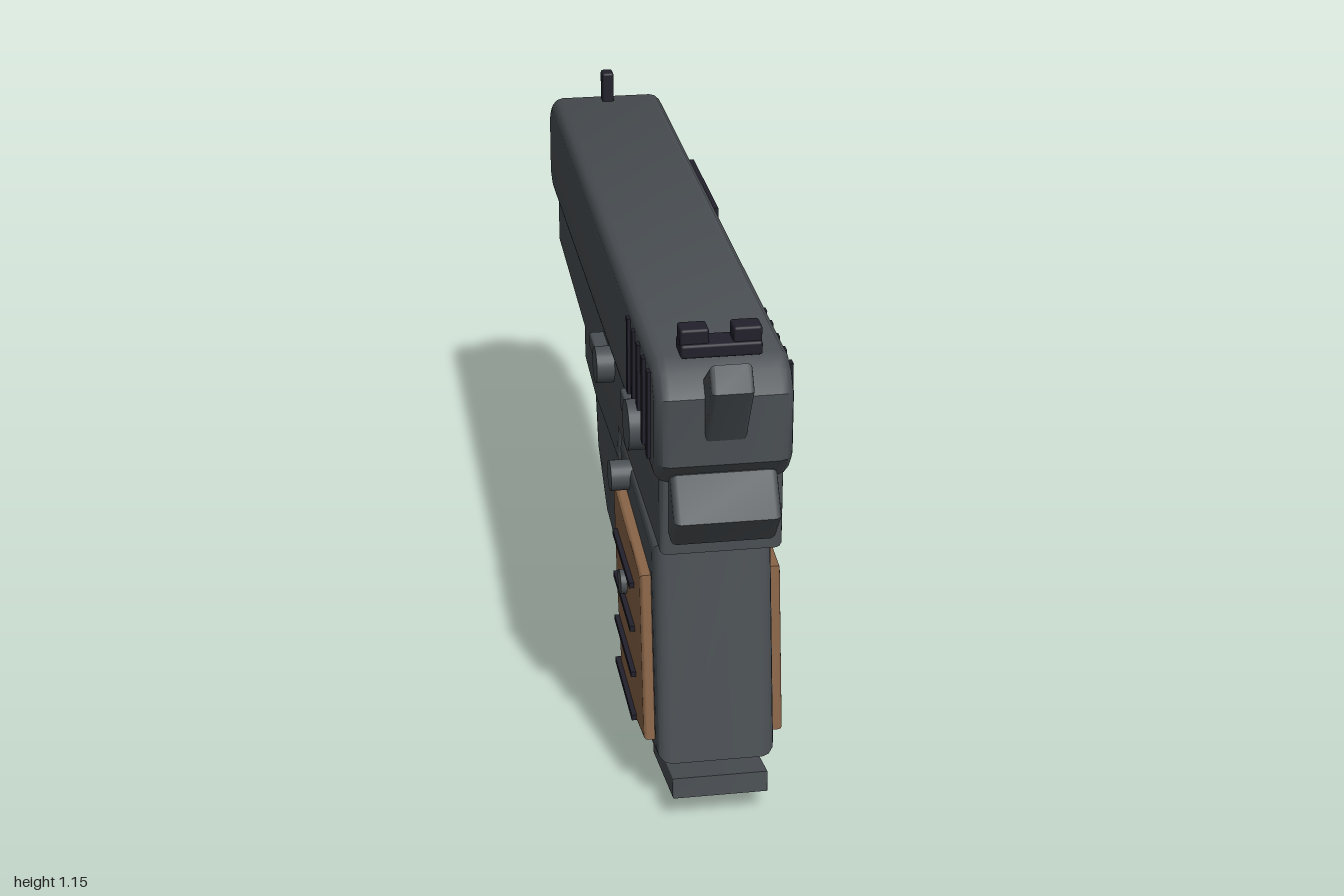
import * as THREE from 'three';
import { toCreasedNormals } from 'three/addons/utils/BufferGeometryUtils.js';
import { RoundedBoxGeometry } from 'three/addons/geometries/RoundedBoxGeometry.js';

export function createModel() {
  const model = new THREE.Group();
  model.name = 'pistol';
  const flat = (name, color) => {
    const m = new THREE.MeshStandardMaterial({ color });
    m.name = name;
    return m;
  };
  const steel = flat('gunmetal', 0x4a4f53);
  const dark = flat('dark metal', 0x22212c);
  const wood = flat('walnut', 0x876346);

  const add = (name, geometry, material, x = 0, y = 0, z = 0) => {
    const mesh = new THREE.Mesh(geometry, material);
    mesh.name = name;
    mesh.position.set(x, y, z);
    model.add(mesh);
    return mesh;
  };

  // Side profile given as [z, y], extruded across x and centred, with a bevel
  const slab = (name, points, width, bevel, material, x = 0) => {
    const shape = new THREE.Shape(points.map(([z, y]) => new THREE.Vector2(z, y)));
    const depth = width - bevel * 2;
    const geo = new THREE.ExtrudeGeometry(shape, {
      depth, bevelEnabled: true, bevelThickness: bevel, bevelSize: bevel,
      bevelOffset: -bevel, bevelSegments: 3,
    });
    geo.translate(0, 0, -depth / 2).rotateY(-Math.PI / 2);
    return add(name, toCreasedNormals(geo, 0.6), material, x);
  };
  const box = (name, w, h, d, material, x, y, z, r = 0.006) =>
    add(name, r ? new RoundedBoxGeometry(w, h, d, 2, r) : new THREE.BoxGeometry(w, h, d), material, x, y, z);
  // Disc whose axis runs along x or z
  const disc = (name, axis, radius, length, material, x, y, z) => {
    const geo = new THREE.CylinderGeometry(radius, radius, length, 24);
    if (axis === 'x') geo.rotateZ(Math.PI / 2);
    else geo.rotateX(Math.PI / 2);
    return add(name, geo, material, x, y, z);
  };

  // Main body
  slab('slide', [
    [0.84, 1.08], [0.885, 1.06], [0.92, 1.015], [0.92, 0.865], [0.88, 0.815],
    [-0.90, 0.815], [-0.96, 0.85], [-0.96, 1.02], [-0.94, 1.05], [-0.89, 1.08],
  ], 0.29, 0.03, steel);
  slab('frame', [
    [0.88, 0.83], [0.88, 0.645], [0.27, 0.645], [0.25, 0.56], [-0.15, 0.545],
    [-0.355, 0.565], [-0.355, 0.645], [-0.89, 0.68], [-0.89, 0.83],
  ], 0.262, 0.014, steel);
  slab('triggerGuard', [
    [0.33, 0.60], [0.31, 0.32], [0.16, 0.235], [-0.11, 0.255],
    [-0.27, 0.36], [-0.32, 0.51], [-0.31, 0.60],
  ], 0.22, 0.006, steel);
  slab('grip', [
    [0.78, 0.62], [0.26, 0.65], [0.27, 0.50], [0.31, 0.32],
    [0.405, 0.05], [0.435, 0.028], [0.86, 0.12],
  ], 0.26, 0.03, steel);
  slab('rearTang', [[0.905, 0.84], [0.965, 0.755], [0.905, 0.68], [0.80, 0.70], [0.80, 0.83]],
    0.225, 0.014, steel);
  slab('hammer', [[0.965, 1.108], [1.0, 1.058], [0.92, 0.92], [0.84, 0.92], [0.88, 1.045]],
    0.088, 0.01, steel);
  slab('magazineBase', [[0.90, 0.107], [0.62, 0.05], [0.62, 0.003], [0.905, 0.06]],
    0.21, 0.003, steel);

  // Parts found on both sides
  for (const side of [-1, 1]) {
    slab('gripPanel', [[0.75, 0.53], [0.335, 0.56], [0.38, 0.33], [0.465, 0.09], [0.81, 0.155]],
      0.035, 0.008, wood, side * 0.1365);
    [[0.46, 0.53], [0.357, 0.54], [0.25, 0.555], [0.145, 0.565]].forEach(([y, z]) =>
      box('gripGroove', 0.014, 0.013, 0.265, dark, side * 0.158, y, z, 0));
    disc('gripScrew', 'x', 0.028, 0.02, steel, side * 0.158, 0.40, 0.53);
    for (let i = 0; i < 5; i++)
      box('slideSerration', 0.012, 0.195, 0.021, dark, side * 0.146, 0.952, 0.838 - i * 0.0715, 0);
  }
  box('ejectionPort', 0.014, 0.145, 0.355, dark, 0.147, 0.988, -0.233, 0);

  // Sights
  box('rearSightBase', 0.17, 0.03, 0.065, dark, 0, 1.094, 0.83);
  for (const side of [-1, 1]) box('rearSightPost', 0.06, 0.04, 0.05, dark, side * 0.055, 1.12, 0.83);
  box('frontSight', 0.03, 0.085, 0.042, dark, 0, 1.113, -0.865);

  // Muzzle
  disc('barrelCollar', 'z', 0.092, 0.06, steel, 0, 0.958, -0.945);
  disc('bore', 'z', 0.047, 0.06, dark, 0, 0.958, -0.97);
  disc('guideRod', 'z', 0.06, 0.06, steel, 0, 0.855, -0.938);

  // Controls on the right-hand side
  disc('safetyKnob', 'x', 0.055, 0.04, steel, -0.152, 0.855, 0.675);
  box('safetyLever', 0.03, 0.05, 0.14, steel, -0.148, 0.85, 0.595);
  disc('slideStopKnob', 'x', 0.043, 0.05, steel, -0.147, 0.774, 0.165);
  box('slideStopLever', 0.04, 0.04, 0.16, steel, -0.144, 0.77, 0.085);
  disc('magazineRelease', 'x', 0.035, 0.06, steel, -0.142, 0.605, 0.405);

  return model;
}
